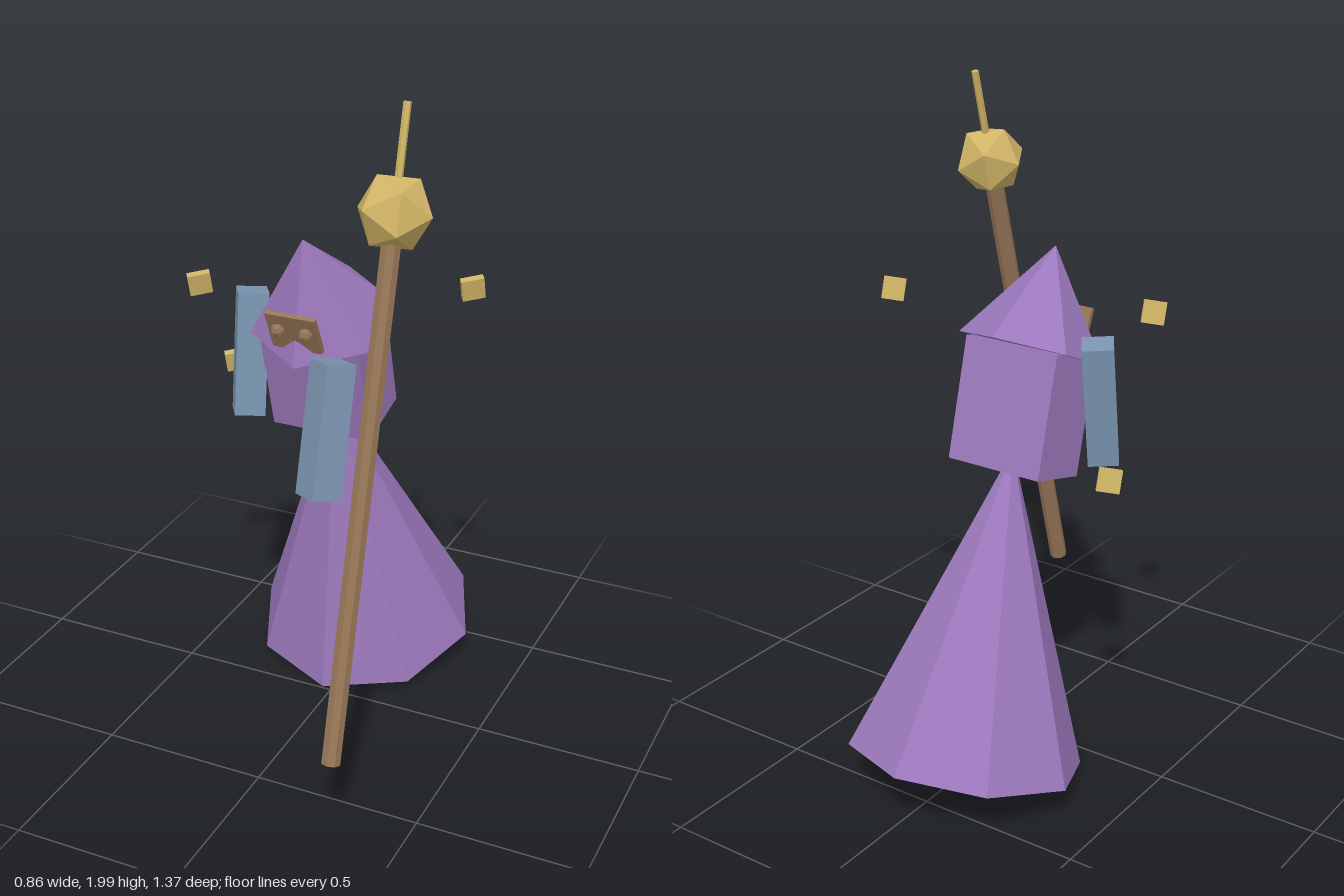
import * as THREE from 'three';

const TILT = 0.265; // shared lean of the body and the staff

function mat(name, color) {
  const m = new THREE.MeshStandardMaterial({ color, flatShading: true });
  m.name = name;
  return m;
}

export function createModel() {
  const model = new THREE.Group();
  model.name = 'floatingMage';
  const purple = mat('purple cloth', 0x9c78bc);
  const blue = mat('blue grey sleeve', 0x7a94b0);
  const brown = mat('brown wood', 0x967556);
  const gold = mat('gold', 0xd0b466);

  function add(name, geometry, material, pos, rot = [0, 0, 0], parent = model) {
    const mesh = new THREE.Mesh(geometry, material);
    mesh.name = name;
    mesh.position.set(...pos);
    mesh.rotation.set(...rot);
    parent.add(mesh);
    return mesh;
  }

  // Body: trailing skirt, leaning torso and pointed hood
  const cx = -0.03;
  add('skirt', new THREE.ConeGeometry(0.351, 0.923, 8), purple, [cx, 0.549, -0.221], [0.272, 0, 0]);
  add('torso', new THREE.BoxGeometry(0.31, 0.36, 0.208), purple, [cx, 1.112, -0.052], [TILT, 0, 0]);
  add('hood', new THREE.ConeGeometry(0.211, 0.302, 6), purple, [cx, 1.411, 0.056], [0.43, 0, 0]);

  // Mask: thin plate with a notched lower edge, plus two round eyes
  const mask = new THREE.Group();
  mask.name = 'mask';
  mask.position.set(cx, 1.295, 0.168);
  mask.rotation.x = 0.436;
  model.add(mask);
  const outline = new THREE.Shape([
    [-0.077, 0.066], [-0.077, -0.062], [-0.045, -0.066], [-0.012, -0.032],
    [0.012, -0.032], [0.045, -0.066], [0.077, -0.062], [0.077, 0.066],
  ].map(([x, y]) => new THREE.Vector2(x, y)));
  add('maskPlate', new THREE.ExtrudeGeometry(outline, { depth: 0.014, bevelEnabled: false }),
    brown, [0, 0, 0], [0, 0, 0], mask);
  for (const s of [-1, 1]) {
    add(s > 0 ? 'leftEye' : 'rightEye', new THREE.SphereGeometry(0.022, 6, 5),
      brown, [s * 0.043, 0.012, 0.02], [0, 0, 0], mask);
  }

  // Floating sleeves
  const sleeve = new THREE.BoxGeometry(0.09, 0.37, 0.09);
  add('leftArm', sleeve, blue, [0.182, 1.143, 0.422], [-TILT, -0.61, 0]);
  add('rightArm', sleeve, blue, [-0.243, 1.143, 0.032], [-0.15, 0.56, 0.02]);

  // Staff: shaft, faceted orb and thin spike along one leaning axis
  const staff = new THREE.Group();
  staff.name = 'staff';
  staff.position.set(0.308, 0.263, 0.661);
  staff.rotation.x = -TILT + 0.005;
  model.add(staff);
  add('shaft', new THREE.CylinderGeometry(0.028, 0.028, 1.5, 8), brown, [0, 0.75, 0], [0, 0, 0], staff);
  add('orb', new THREE.IcosahedronGeometry(0.108), gold, [0, 1.51, 0], [0, 0.5, 0], staff);
  add('spike', new THREE.CylinderGeometry(0.011, 0.011, 0.3, 6), gold, [0, 1.643, 0], [0, 0, 0], staff);

  // Small charms hovering around the body
  const charm = new THREE.BoxGeometry(0.065, 0.065, 0.022);
  [[-0.33, 1.39, 0.168], [0.394, 1.4, -0.094], [-0.398, 1.01, -0.166]].forEach((p, i) =>
    add('charm' + (i + 1), charm, gold, p, [TILT, 0.6, 0]));

  return model;
}
